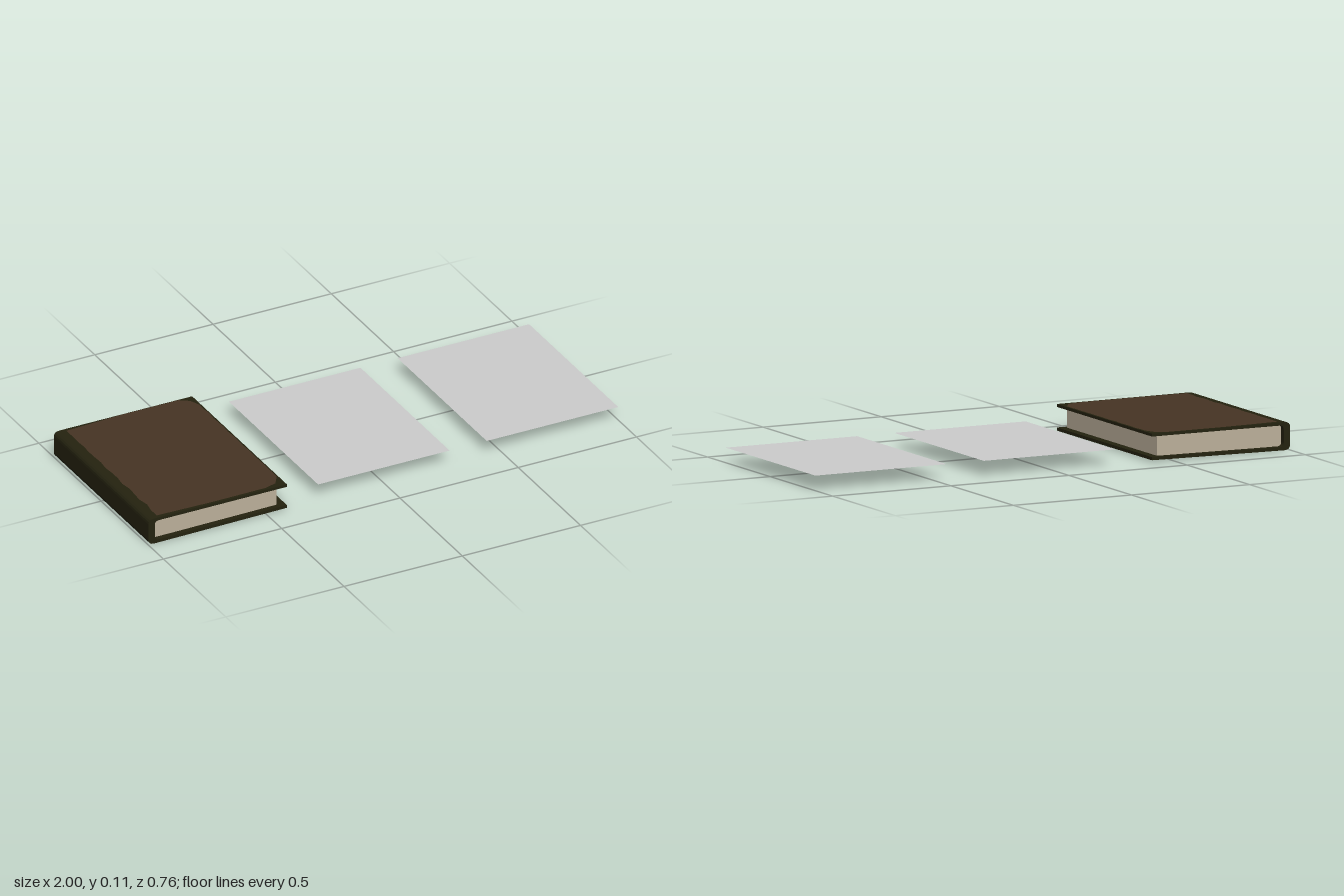
import * as THREE from 'three';

const mat = (name, color, side = THREE.FrontSide) => {
  const m = new THREE.MeshStandardMaterial({ color, side });
  m.name = name;
  return m;
};

export function createModel() {
  const group = new THREE.Group();
  const leather = mat('brown leather', 0x463423);
  const trim = mat('dark worn trim', 0x24220f);
  const paper = mat('aged paper', 0xbcb09b);
  const sheet = mat('loose sheet grey', 0xcccccc, THREE.DoubleSide);

  const add = (name, geometry, material, x = 0, y = 0, z = 0) => {
    const mesh = new THREE.Mesh(geometry, material);
    mesh.name = name;
    mesh.position.set(x, y, z);
    group.add(mesh);
    return mesh;
  };

  // The lower board rises slightly towards the fore edge
  const lowerY = x => 0.001 + Math.max(0, x + 0.97) * 0.011;
  const upperY = () => 0.108;

  // Binding: two boards joined by a spine with rounded corners
  const profile = new THREE.Shape();
  profile.moveTo(-0.415, lowerY(-0.415));
  profile.lineTo(-0.415, 0.019);
  profile.lineTo(-0.955, 0.014);
  profile.quadraticCurveTo(-0.973, 0.014, -0.973, 0.03);
  profile.lineTo(-0.973, 0.08);
  profile.quadraticCurveTo(-0.973, 0.096, -0.955, 0.096);
  profile.lineTo(-0.415, 0.097);
  profile.lineTo(-0.415, 0.108);
  profile.lineTo(-0.975, 0.108);
  profile.quadraticCurveTo(-1, 0.108, -1, 0.088);
  profile.lineTo(-1, 0.022);
  profile.quadraticCurveTo(-1, 0.001, -0.975, 0.001);
  const binding = new THREE.ExtrudeGeometry(profile, { depth: 0.76, bevelEnabled: false, curveSegments: 4 });
  add('binding', binding, trim, 0, 0, -0.38);

  // Page block, set back from the board edges
  add('pageBlock', new THREE.BoxGeometry(0.53, 0.085, 0.718), paper, -0.712, 0.057, 0);

  // Leather faces with slightly worn edges and clipped fore corners
  const leatherFace = (name, heightAt, up) => {
    const pts = [];
    const n = 16;
    const wobble = i => 0.004 * Math.sin(i * 2.3) + 0.003 * Math.sin(i * 4.1);
    for (let i = 0; i <= n; i++) pts.push([-0.955 + wobble(i), -0.365 + 0.73 * i / n]);
    pts.push([-0.72, 0.371], [-0.5, 0.369], [-0.45, 0.355]);
    for (let i = 0; i <= n; i++) pts.push([-0.421 + wobble(i) * 0.5, 0.31 - 0.62 * i / n]);
    pts.push([-0.438, -0.35], [-0.475, -0.376], [-0.72, -0.377]);
    const shape = new THREE.Shape(pts.map(([x, z]) => new THREE.Vector2(x, up ? -z : z)));
    const g = new THREE.ShapeGeometry(shape);
    g.rotateX(up ? -Math.PI / 2 : Math.PI / 2);
    const p = g.attributes.position;
    for (let i = 0; i < p.count; i++) p.setY(i, heightAt(p.getX(i)) + (up ? 0.001 : -0.001));
    g.computeVertexNormals();
    add(name, g, leather);
  };
  leatherFace('upperLeatherFace', upperY, true);
  leatherFace('lowerLeatherFace', lowerY, false);

  // Two loose sheets lying level beside the book
  for (const [name, x] of [['innerSheet', 0.008], ['outerSheet', 0.721]]) {
    const g = new THREE.PlaneGeometry(0.556, 0.715);
    g.rotateX(-Math.PI / 2);
    add(name, g, sheet, x, 0.057, -0.002);
  }
  return group;
}
